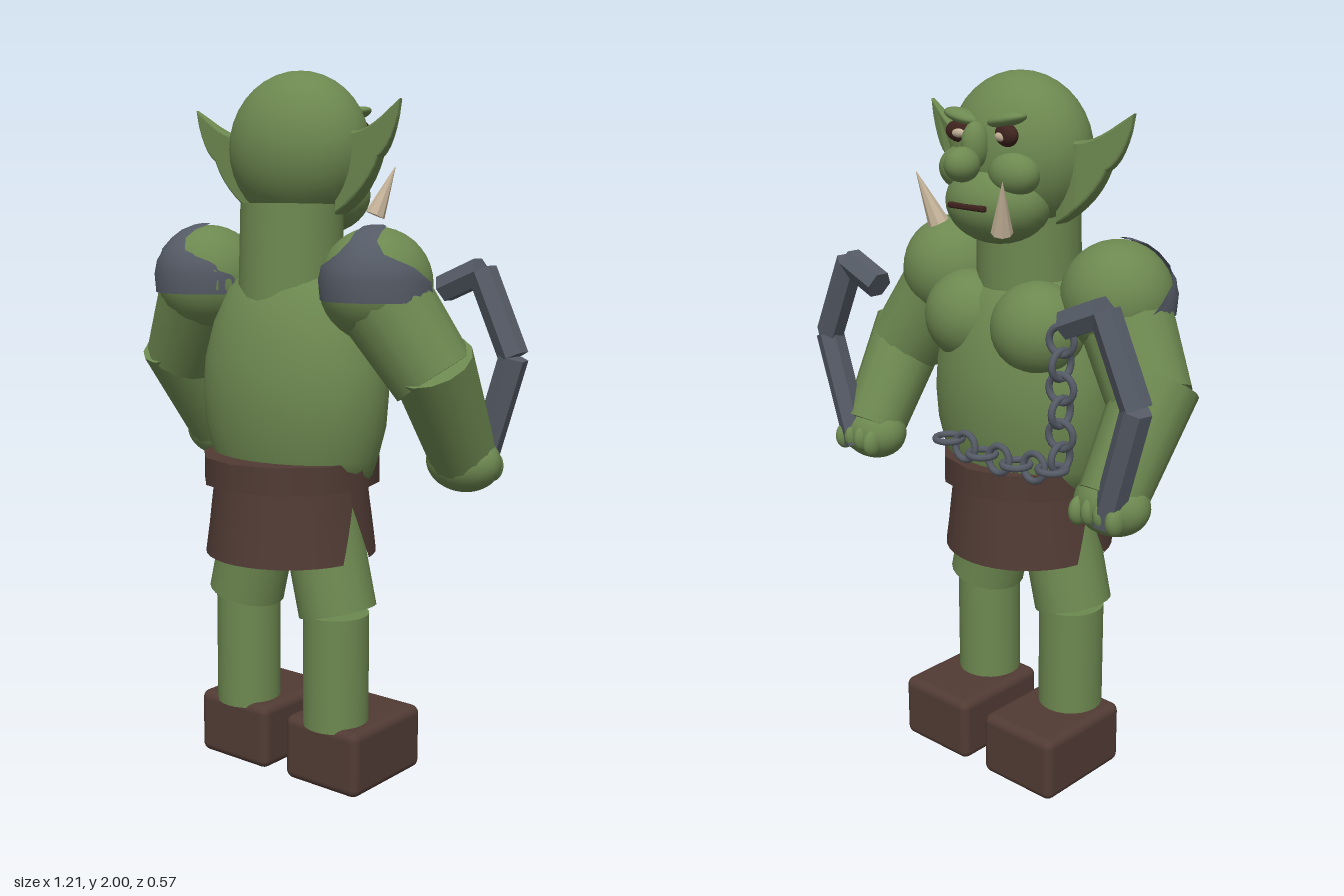
import * as THREE from 'three';
import { RoundedBoxGeometry } from 'three/addons/geometries/RoundedBoxGeometry.js';

const mat = (name, color, side = THREE.FrontSide) => {
  const m = new THREE.MeshStandardMaterial({ color, side });
  m.name = name;
  return m;
};
const V = (x, y, z) => new THREE.Vector3(x, y, z);

export function createModel() {
  const root = new THREE.Group();
  root.name = 'ogre';
  const skin = mat('green skin', 0x6d8850);
  const leather = mat('brown leather', 0x513b34, THREE.DoubleSide);
  const steel = mat('grey steel', 0x555b66, THREE.DoubleSide);
  const bone = mat('bone', 0xc9b79c);
  const dark = mat('dark red brown', 0x3f231e);

  const add = (name, geo, m, x = 0, y = 0, z = 0) => {
    const mesh = new THREE.Mesh(geo, m);
    mesh.name = name;
    mesh.position.set(x, y, z);
    root.add(mesh);
    return mesh;
  };
  const ball = (name, m, x, y, z, rx, ry = rx, rz = rx) => {
    const mesh = add(name, new THREE.SphereGeometry(1, 28, 18), m, x, y, z);
    mesh.scale.set(rx, ry, rz);
    return mesh;
  };
  // tapered cylinder running from a to b
  const limb = (name, m, a, b, ra, rb, sides = 24) => {
    const dir = b.clone().sub(a);
    const geo = new THREE.CylinderGeometry(rb, ra, dir.length(), sides);
    const mesh = add(name, sides < 12 ? geo.toNonIndexed() : geo, m);
    if (sides < 12) mesh.geometry.computeVertexNormals();
    mesh.position.copy(a).add(b).multiplyScalar(0.5);
    mesh.quaternion.setFromUnitVectors(V(0, 1, 0), dir.normalize());
    return mesh;
  };

  // torso: barrel, flattened front to back
  const profile = [[0, 0.86], [0.24, 0.88], [0.262, 0.95], [0.283, 1.03], [0.29, 1.12], [0.283, 1.21],
    [0.255, 1.31], [0.205, 1.41], [0.14, 1.46], [0, 1.48]].map(p => new THREE.Vector2(...p));
  add('torso', new THREE.LatheGeometry(profile, 36), skin, 0, 0, 0.02).scale.z = 0.74;
  limb('neck', skin, V(0, 1.38, 0.035), V(0, 1.64, 0.03), 0.147, 0.143);

  // head
  ball('head', skin, 0, 1.79, 0, 0.21, 0.21, 0.17);
  ball('jaw', skin, 0, 1.665, -0.09, 0.155, 0.11, 0.125);
  ball('nose', skin, 0, 1.775, -0.225, 0.045, 0.045, 0.05);
  ball('noseBridge', skin, 0, 1.82, -0.175, 0.035, 0.06, 0.04);
  const mouth = add('mouth', new RoundedBoxGeometry(0.13, 0.016, 0.02, 2, 0.006), dark, 0, 1.665, -0.209);
  mouth.rotation.x = 0.05;

  // belt and the split kilt
  add('belt', new THREE.CylinderGeometry(0.252, 0.252, 0.077, 12), leather, 0, 0.907, 0.035);
  for (const side of [1, -1]) {
    const geo = new THREE.PlaneGeometry(1, 1, 16, 10);
    const p = geo.attributes.position;
    for (let i = 0; i < p.count; i++) {
      const v = p.getY(i) + 0.5;
      const slit = 0.24 * Math.max(0, 1 - v / 0.7);
      const a = p.getX(i) * 2 * (Math.PI / 2 - slit);
      const r = 0.246 - 0.02 * v;
      p.setXYZ(i, r * (0.98 - 0.05 * v) * Math.sin(a) * side, 0.665 + 0.215 * v, 0.035 + r * Math.cos(a) * side);
    }
    geo.computeVertexNormals();
    add(side > 0 ? 'kiltBack' : 'kiltFront', geo, leather);
  }

  for (const s of [1, -1]) {
    const at = (x, y, z) => V(s * x, y, z);

    // face pieces
    const socket = ball('eyeSocket', dark, s * 0.08, 1.848, -0.145, 0.046, 0.03, 0.022);
    socket.rotation.y = s * 0.25;
    ball('eye', bone, s * 0.08, 1.845, -0.158, 0.026, 0.014, 0.012);
    const brow = ball('brow', skin, s * 0.078, 1.886, -0.14, 0.062, 0.018, 0.036);
    brow.rotation.z = s * 0.2;
    ball('cheek', skin, s * 0.09, 1.75, -0.125, 0.075, 0.06, 0.06);
    limb('tusk', bone, at(0.115, 1.61, -0.2), at(0.155, 1.745, -0.24), 0.029, 0.001, 8);

    // pointed ear, thinning towards its tip
    const ear = new THREE.Shape();
    ear.moveTo(s * 0.15, 1.83);
    ear.lineTo(s * 0.215, 1.825);
    ear.quadraticCurveTo(s * 0.27, 1.83, s * 0.355, 1.9);
    ear.quadraticCurveTo(s * 0.33, 1.79, s * 0.285, 1.765);
    ear.quadraticCurveTo(s * 0.25, 1.68, s * 0.15, 1.62);
    const earGeo = new THREE.ExtrudeGeometry(ear, { depth: 0.04, bevelSize: 0.006, bevelThickness: 0.01, bevelSegments: 2, curveSegments: 6 });
    const ep = earGeo.attributes.position;
    for (let i = 0; i < ep.count; i++) {
      const t = THREE.MathUtils.clamp((Math.abs(ep.getX(i)) - 0.2) / 0.16, 0, 1);
      ep.setZ(i, (ep.getZ(i) - 0.02) * (1 - 0.75 * t) + 0.025 * t);
    }
    earGeo.computeVertexNormals();
    add('ear', earGeo, skin);

    ball('chestMuscle', skin, s * 0.125, 1.335, -0.07, 0.135, 0.13, 0.125);

    // arm
    ball('shoulder', skin, s * 0.3, 1.43, 0.045, 0.152, 0.152, 0.152);
    limb('upperArm', skin, at(0.3, 1.43, 0.055), at(0.455, 1.19, -0.005), 0.132, 0.115, 14);
    limb('forearm', skin, at(0.462, 1.235, 0.02), at(0.455, 0.96, -0.155), 0.112, 0.092, 14);
    ball('fist', skin, s * 0.455, 0.945, -0.155, 0.11, 0.083, 0.083);
    for (let i = 0; i < 4; i++) {
      ball('finger', skin, s * (0.395 + i * 0.04), 0.93 + (i % 3 ? 0.008 : 0), -0.215, 0.023, 0.04, 0.034);
    }

    // shoulder plate: a sheet over the back of the shoulder, narrowing to a strap
    const rows = [[1.83, 1.75], [1.5, 1.45], [1.25, 1.05], [1.02, 0.5], [0.75, 0.36], [0.5, 0.5], [0.25, 1.0], [0.1, 1.5]];
    const plate = new THREE.PlaneGeometry(1, 1, 14, rows.length - 1);
    const pp = plate.attributes.position;
    for (let i = 0; i < pp.count; i++) {
      const [th, half] = rows[Math.floor(i / 15)];
      const a = 0.25 + ((i % 15) / 7 - 1) * half;
      const r = 0.158;
      pp.setXYZ(i, s * (0.305 + r * Math.sin(th) * Math.sin(a)), 1.43 + r * Math.cos(th), 0.045 + r * Math.sin(th) * Math.cos(a));
    }
    plate.computeVertexNormals();
    add('shoulderPlate', plate, steel);

    // bent hexagonal weapon held in the fist
    const bend = [at(0.345, 1.41, -0.213), at(0.465, 1.462, -0.213), at(0.57, 1.235, -0.213), at(0.475, 0.91, -0.205)];
    for (let i = 0; i < 3; i++) limb('weaponBar', steel, bend[i], bend[i + 1], 0.041, 0.041, 6);

    // leg
    limb('thigh', skin, at(0.17, 0.513, 0.035), at(0.088, 0.85, 0.035), 0.111, 0.111);
    limb('shin', skin, at(0.164, 0.18, 0.035), at(0.164, 0.508, 0.035), 0.094, 0.094);
    add('boot', new RoundedBoxGeometry(0.258, 0.19, 0.322, 3, 0.025), leather, s * 0.164, 0.1, -0.048);
  }

  // chain hanging from one weapon and sweeping across the belly
  const link = (x, y, z, rx, ry, rz) =>
    add('chainLink', new THREE.TorusGeometry(0.037, 0.0095, 8, 18), steel, x, y, z).rotation.set(rx, ry, rz);
  for (let i = 0; i < 6; i++) link(-0.34, 1.37 - i * 0.062, -0.225, 0, i % 2 ? Math.PI / 2 : 0.15, 0);
  for (let i = 0; i < 7; i++) {
    const y = 1.01 + 0.002 * (i - 3) ** 2;
    link(-0.32 + i * 0.0625, y, -0.235, i % 2 ? 0.1 : Math.PI / 2, 0, 0);
  }
  return root;
}
